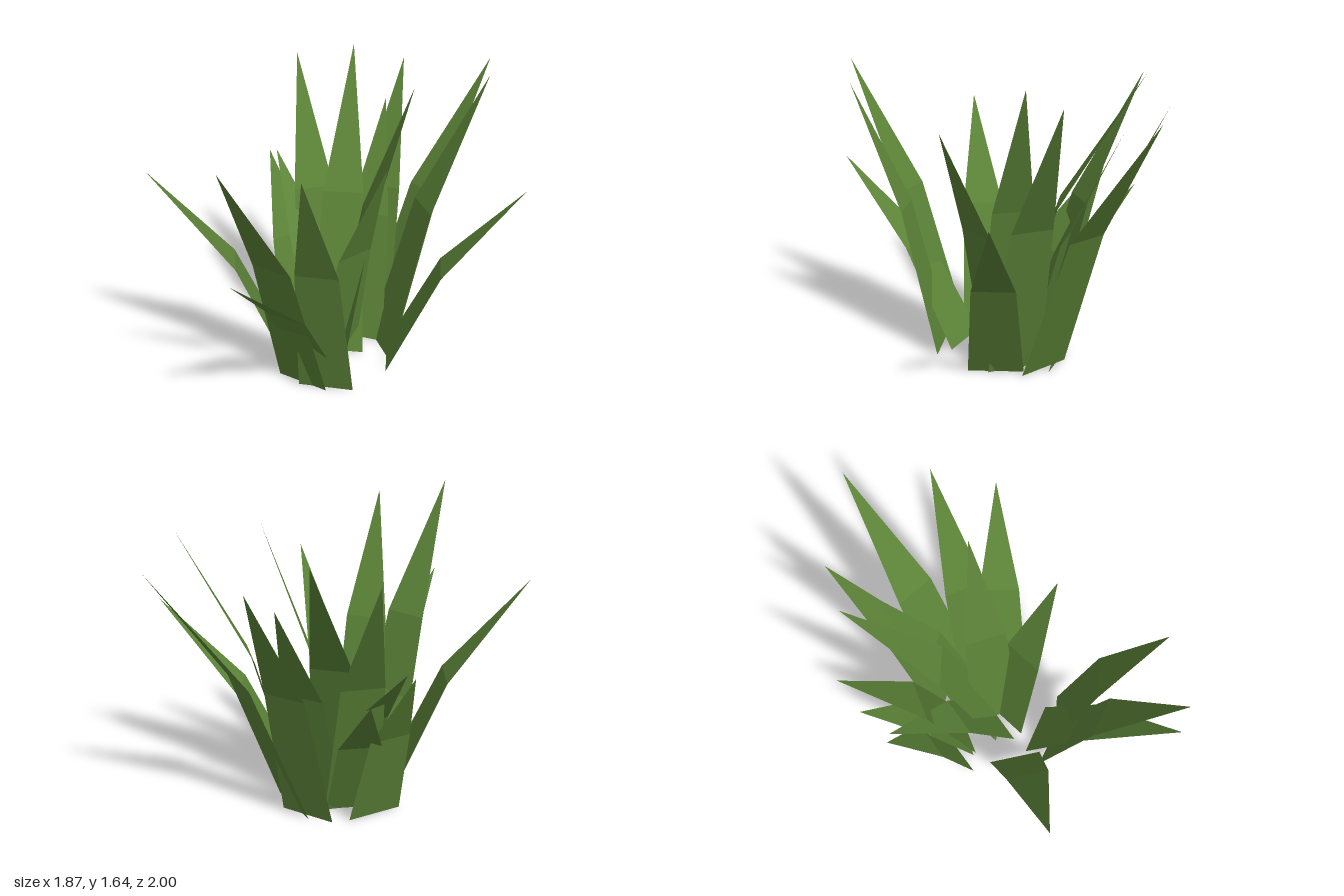
import * as THREE from 'three';

const leafGreen = new THREE.MeshStandardMaterial({ color: 0x5c8438, side: THREE.DoubleSide, flatShading: true });
leafGreen.name = 'leafGreen';

const BASE_HALF = 0.155; // half width at the ground
const BEND_HALF = 0.117; // half width at the bend
const BEND_HEIGHT = 0.55; // bend, as a share of the blade's height
const BEND_REACH = 0.4; // bend, as a share of the blade's outward lean

// Each blade: root [x, z] and tip [x, y, z]
const blades = [
  // front
  { root: [-0.13, 0.315], tip: [-0.255, 1.59, 0.965] },
  { root: [-0.075, 0.21], tip: [-0.2, 1.02, 1.0] },
  { root: [0.01, 0.315], tip: [0.092, 1.53, 0.8] },
  // left side
  { root: [-0.05, -0.005], tip: [0.31, 1.36, 0.195] },
  { root: [0.235, -0.09], tip: [0.935, 1.11, -0.3] },
  { root: [-0.05, -0.05], tip: [0.3, 1.625, -0.27] },
  { root: [0.165, -0.175], tip: [0.635, 1.635, -0.56] },
  // back
  { root: [0.11, -0.33], tip: [0.535, 1.575, -1.0] },
  { root: [0, -0.38], tip: [0.03, 1.53, -0.94] },
  { root: [0.01, -0.22], tip: [0, 1.36, -0.705] },
  { root: [-0.06, -0.04], tip: [-0.223, 1.64, -0.77] },
  // right side
  { root: [-0.19, -0.2], tip: [-0.545, 1.575, -0.685] },
  { root: [-0.2, -0.2], tip: [-0.495, 0.935, -0.675] },
  { root: [-0.33, -0.21], tip: [-0.643, 1.03, -0.468] },
  { root: [-0.07, -0.02], tip: [-0.6, 1.04, -0.47] },
  { root: [-0.28, 0.13], tip: [-0.935, 1.26, 0.463] },
];

// Bent blade: a quad up to the bend, then a triangle to the point
function bladeGeometry({ root, tip }) {
  const foot = new THREE.Vector3(root[0], 0, root[1]);
  const point = new THREE.Vector3(...tip);
  const lean = point.clone().sub(foot).setY(0);
  const across = new THREE.Vector3(lean.z, 0, -lean.x).normalize();
  const bend = foot.clone().addScaledVector(lean, BEND_REACH).setY(point.y * BEND_HEIGHT);

  const edge = (centre, half) => [-half, half].map((d) => centre.clone().addScaledVector(across, d));
  const corners = [...edge(foot, BASE_HALF), ...edge(bend, BEND_HALF), point];
  const geometry = new THREE.BufferGeometry().setFromPoints(corners);
  geometry.setIndex([0, 1, 3, 0, 3, 2, 2, 3, 4]);
  const flat = geometry.toNonIndexed();
  flat.computeVertexNormals();
  return flat;
}

export function createModel() {
  const clump = new THREE.Group();
  clump.name = 'grassClump';
  blades.forEach((blade, i) => {
    const mesh = new THREE.Mesh(bladeGeometry(blade), leafGreen);
    mesh.name = `grassBlade${i + 1}`;
    clump.add(mesh);
  });
  return clump;
}
